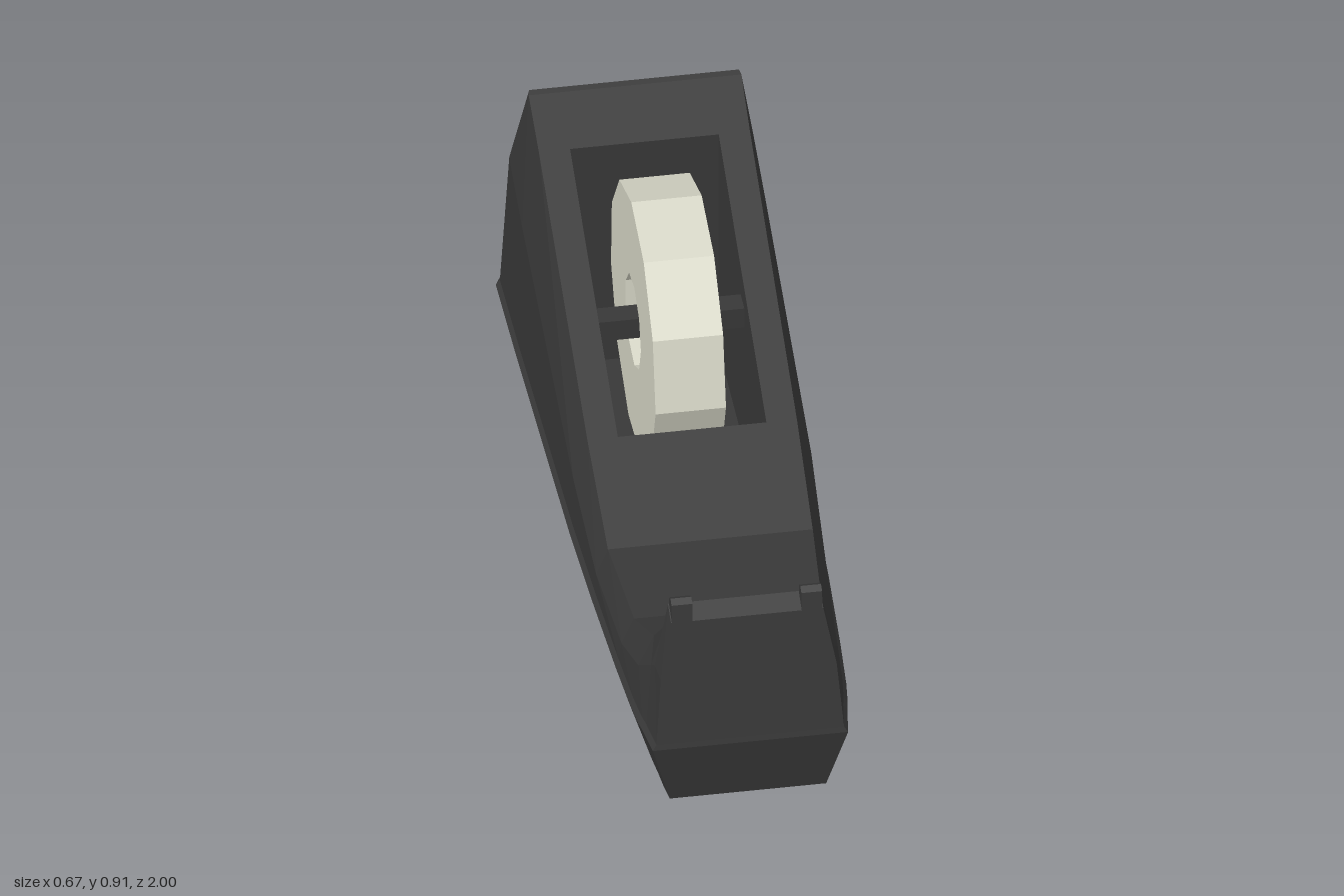
import * as THREE from 'three';

const black = new THREE.MeshStandardMaterial({ color: 0x383838 });
black.name = 'blackPlastic';
black.flatShading = true;
const cream = new THREE.MeshStandardMaterial({ color: 0xd8d8c8 });
cream.name = 'creamTape';
cream.flatShading = true;

const V = (x, y, z) => new THREE.Vector3(x, y, z);

// Collects quads, each with its mirror image across x = 0
function mirroredQuads() {
  const pos = [];
  const tri = (a, b, c) => {
    for (const p of [a, b, c]) pos.push(p.x, p.y, p.z);
    for (const p of [a, c, b]) pos.push(-p.x, p.y, p.z);
  };
  return {
    quad(a, b, c, d) { tri(a, b, c); tri(a, c, d); },
    build() {
      const g = new THREE.BufferGeometry();
      g.setAttribute('position', new THREE.Float32BufferAttribute(pos, 3));
      g.computeVertexNormals();
      return g;
    },
  };
}

// Half sections, front to back: bottom [x,z], belt [x,z], shoulder [x,y,z], top [x,y,z], inner x
const sections = [
  [[0.20, 0.96], [0.25, 1.0], [0.225, 0.40, 0.972], [0.195, 0.56, 0.948], 0.14],
  [[0.208, 0.90], [0.262, 0.91], [0.23, 0.40, 0.91], [0.195, 0.585, 0.90], 0.14],
  [[0.21, 0.87], [0.268, 0.88], [0.235, 0.38, 0.88], [0.20, 0.50, 0.88], 0.14],
  [[0.218, 0.80], [0.277, 0.80], [0.255, 0.32, 0.80], [0.215, 0.41, 0.80], 0.16],
  [[0.23, 0.64], [0.288, 0.64], [0.272, 0.27, 0.64], [0.24, 0.345, 0.64], 0.18],
  [[0.24, 0.36], [0.303, 0.36], [0.292, 0.28, 0.36], [0.262, 0.355, 0.36], 0.19],
  [[0.25, 0.07], [0.315, 0.07], [0.305, 0.37, 0.07], [0.268, 0.484, 0.07], 0.19],
  [[0.265, -0.69], [0.332, -0.69], [0.312, 0.585, -0.69], [0.27, 0.823, -0.69], 0.19],
  [[0.27, -0.88], [0.336, -0.965], [0.312, 0.65, -0.90], [0.272, 0.89, -0.84], 0.19],
  [[0.262, -0.905], [0.318, -1.0], [0.305, 0.652, -0.92], [0.268, 0.895, -0.855], 0.19],
];
const slotFront = 6, slotBack = 7, slotFloor = 0.14;

function bodyGeometry() {
  const { quad, build } = mirroredQuads();
  const rows = sections.map(([bo, be, sh, to, inner]) => [
    V(0, 0.01, bo[1]),
    V(bo[0], 0.01, bo[1]),
    V(be[0], 0.198, be[1]),
    V(be[0] - 0.01, 0.214, be[1] - Math.sign(be[1]) * 0.003),
    V(...sh),
    V(...to),
    V(inner, to[1], to[2]),
    V(0, to[1], to[2]),
  ]);
  // Outer skin, leaving the roll slot open
  for (let i = 0; i < rows.length - 1; i++) {
    for (let j = 0; j < 7; j++) {
      if (i === slotFront && j === 6) continue;
      quad(rows[i][j], rows[i + 1][j], rows[i + 1][j + 1], rows[i][j + 1]);
    }
  }
  // Front and back ends
  const onAxis = (p) => V(0, p.y, p.z);
  const first = rows[0], last = rows[rows.length - 1];
  for (let j = 1; j < 5; j++) {
    quad(onAxis(first[j]), first[j], first[j + 1], onAxis(first[j + 1]));
    quad(last[j], onAxis(last[j]), onAxis(last[j + 1]), last[j + 1]);
  }
  // Slot walls and floor
  const f = rows[slotFront], b = rows[slotBack];
  const down = (p) => V(p.x, slotFloor, p.z);
  quad(f[6], b[6], down(b[6]), down(f[6]));
  quad(down(f[6]), down(b[6]), down(b[7]), down(f[7]));
  quad(f[7], f[6], down(f[6]), down(f[7]));
  quad(b[6], b[7], down(b[7]), down(b[6]));
  return build();
}

// Extrudes a [z, y] outline along x, centred on x
function sideExtrude(shape, width, x) {
  const g = new THREE.ExtrudeGeometry(shape, { depth: width, bevelEnabled: false });
  g.translate(0, 0, -width / 2);
  g.rotateY(-Math.PI / 2);
  g.translate(x, 0, 0);
  return g;
}

function ring(radius, sides, turn = 0) {
  return Array.from({ length: sides }, (_, i) => {
    const a = turn + (i / sides) * Math.PI * 2;
    return new THREE.Vector2(Math.cos(a) * radius, Math.sin(a) * radius);
  });
}

export function createModel() {
  const model = new THREE.Group();
  const add = (name, geometry, material, parent = model) => {
    const mesh = new THREE.Mesh(geometry, material);
    mesh.name = name;
    parent.add(mesh);
    return mesh;
  };

  add('body', bodyGeometry(), black);

  // Raised tips either side of the cutting edge
  const tip = new THREE.Shape([
    [0.95, 0.55], [0.942, 0.61], [0.925, 0.62], [0.906, 0.61], [0.89, 0.54],
  ].map(([z, y]) => new THREE.Vector2(z, y)));
  for (const s of [1, -1]) {
    add(s > 0 ? 'leftTip' : 'rightTip', sideExtrude(tip, 0.053, s * 0.166), black);
  }

  // Tape roll with its hub and axle
  const roll = new THREE.Group();
  roll.name = 'tapeRoll';
  roll.position.set(0, 0.55, -0.31);
  model.add(roll);
  const tape = new THREE.Shape(ring(0.36, 11, Math.PI / 2 + 0.08));
  tape.holes.push(new THREE.Path(ring(0.125, 9).reverse()));
  add('tape', sideExtrude(tape, 0.18, 0), cream, roll);
  add('axle', new THREE.BoxGeometry(0.38, 0.06, 0.06), black, roll);

  // Thin feet
  for (const x of [-0.15, 0.15]) {
    for (const z of [0.89, -0.82]) {
      const foot = add('foot', new THREE.CylinderGeometry(0.04, 0.04, 0.012, 8), black);
      foot.position.set(x, 0.006, z);
    }
  }
  return model;
}
